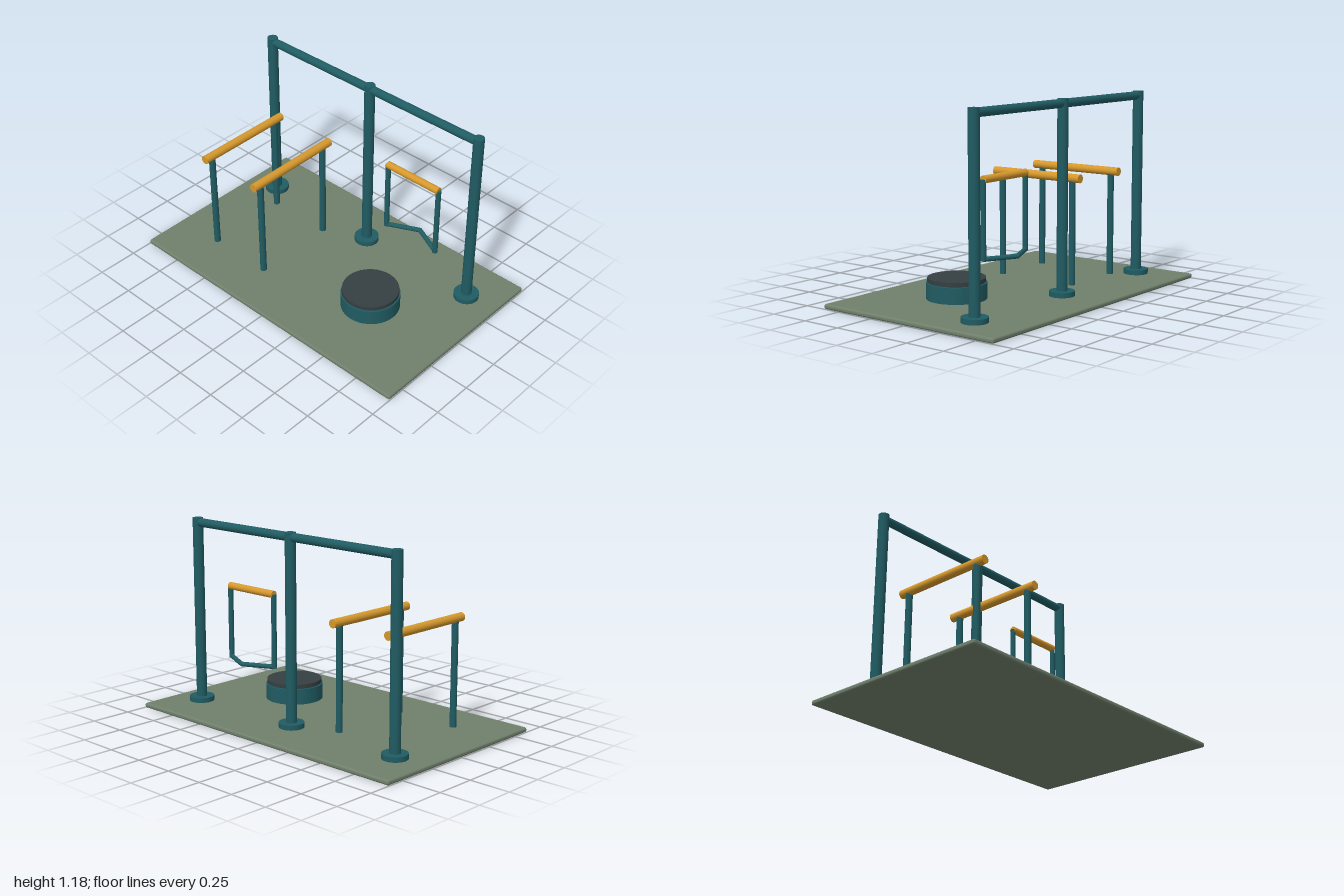
import * as THREE from 'three';
import { RoundedBoxGeometry } from 'three/addons/geometries/RoundedBoxGeometry.js';

const material = (name, color) => {
  const m = new THREE.MeshStandardMaterial({ color });
  m.name = name;
  return m;
};

export function createModel() {
  const teal = material('teal paint', 0x205c63);
  const yellow = material('yellow grip', 0xd6982c);
  const green = material('green matting', 0x70806c);
  const dark = material('dark rubber', 0x353f41);

  const model = new THREE.Group();
  model.name = 'outdoorGym';

  const add = (parent, name, geometry, mat) => {
    const mesh = new THREE.Mesh(geometry, mat);
    mesh.name = name;
    parent.add(mesh);
    return mesh;
  };

  // Round tube between two points
  const tube = (parent, name, from, to, radius, mat, sides = 24) => {
    const a = new THREE.Vector3(...from), b = new THREE.Vector3(...to);
    const dir = b.clone().sub(a);
    const mesh = add(parent, name, new THREE.CylinderGeometry(radius, radius, dir.length(), sides), mat);
    mesh.position.copy(a).add(b).multiplyScalar(0.5);
    mesh.quaternion.setFromUnitVectors(new THREE.Vector3(0, 1, 0), dir.normalize());
    return mesh;
  };

  const group = (name) => {
    const g = new THREE.Group();
    g.name = name;
    model.add(g);
    return g;
  };

  // Ground mat
  const floor = 0.03;
  add(model, 'groundMat', new RoundedBoxGeometry(2, floor, 1.232, 3, 0.012), green).position.y = floor / 2;

  // Pull-up frame: three footed posts and a long top bar
  const pullUp = group('pullUpFrame');
  const zPost = -0.325;
  for (const x of [-0.795, 0, 0.795]) {
    tube(pullUp, 'post', [x, floor, zPost], [x, 1.178, zPost], 0.032, teal);
    tube(pullUp, 'postFoot', [x, floor, zPost], [x, 0.06, zPost], 0.076, teal, 32);
  }
  tube(pullUp, 'pullUpBar', [-0.795, 1.15, zPost], [0.795, 1.15, zPost], 0.026, teal);

  // Parallel dip bars
  const dip = group('dipBars');
  for (const x of [-0.68, -0.268]) {
    tube(dip, 'dipGrip', [x, 0.68, -0.263], [x, 0.68, 0.383], 0.026, yellow);
    for (const z of [-0.205, 0.325]) tube(dip, 'dipPost', [x, floor, z], [x, 0.675, z], 0.02, teal);
  }

  // Hand frame with a V-shaped lower rail
  const hand = group('handFrame');
  const zHand = -0.235, yLow = 0.33, mid = 0.422;
  tube(hand, 'handGrip', [mid - 0.19, 0.77, zHand], [mid + 0.19, 0.77, zHand], 0.022, yellow);
  const bend = [mid, yLow, zPost];
  for (const s of [-1, 1]) {
    const x = mid + s * 0.188;
    tube(hand, 'handUpright', [x, yLow - 0.008, zHand], [x, 0.77, zHand], 0.016, teal);
    tube(hand, 'lowerRail', [x, yLow, zHand], bend, 0.014, teal);
  }
  add(hand, 'railBend', new THREE.SphereGeometry(0.014, 16, 12), teal).position.set(...bend);

  // Step platform: drum, narrow recess and rubber pad
  const step = group('stepPlatform');
  const xs = 0.422, zs = 0.118;
  tube(step, 'stepDrum', [xs, floor, zs], [xs, 0.126, zs], 0.177, teal, 40);
  tube(step, 'stepRecess', [xs, 0.126, zs], [xs, 0.131, zs], 0.165, teal, 40);
  tube(step, 'stepPad', [xs, 0.13, zs], [xs, 0.155, zs], 0.17, dark, 40);

  return model;
}
